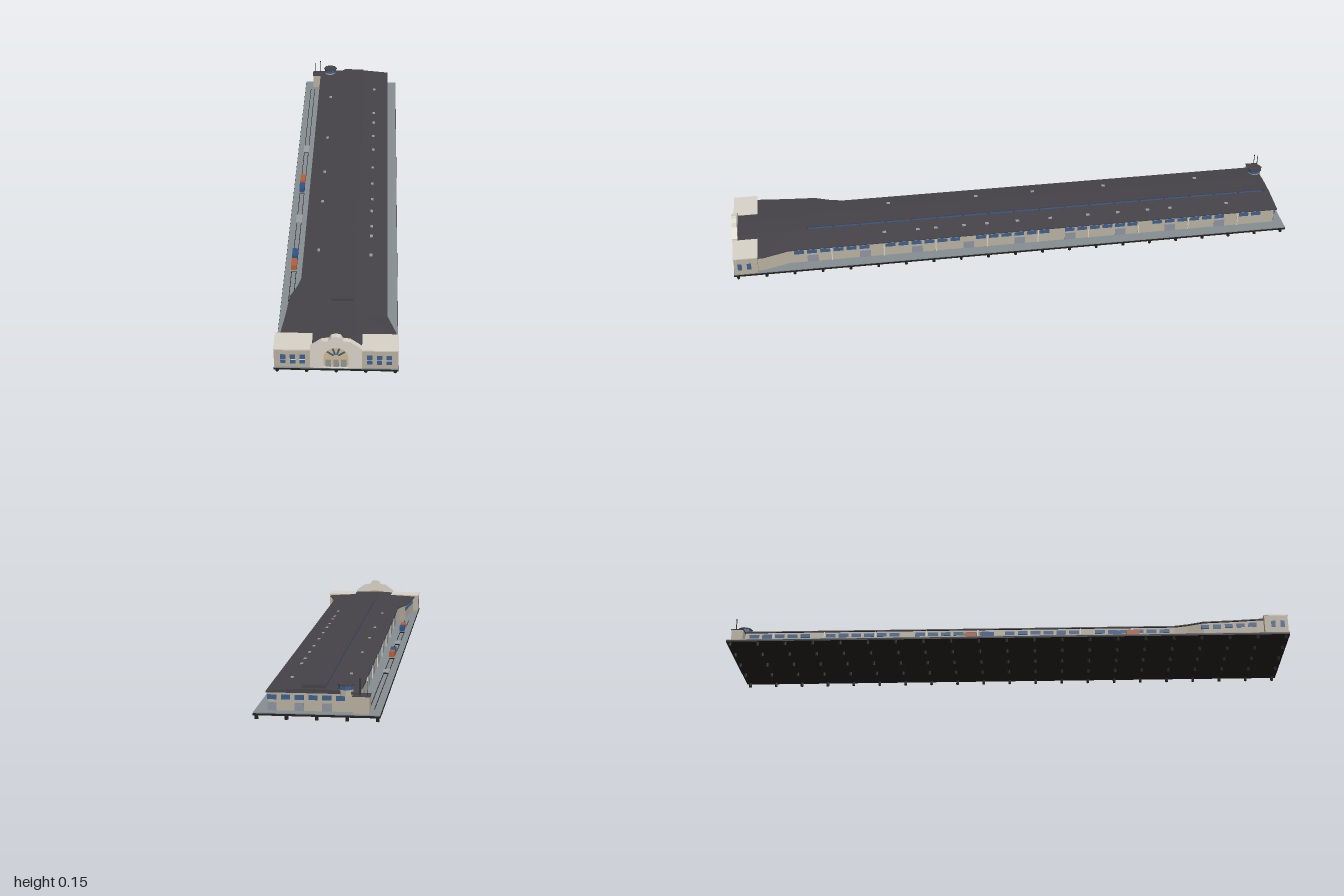
import * as THREE from 'three';

const mat = (color, side = THREE.FrontSide) =>
  new THREE.MeshStandardMaterial({ color, side, flatShading: true });
const M = {
  deck: mat(0x868e92), dark: mat(0x23211f), wall: mat(0xb8b0a0), trim: mat(0xd8d3c8),
  roof: mat(0x454348, THREE.DoubleSide), glass: mat(0x3d5f8c), door: mat(0x8d93a0),
  arch: mat(0xcfba8c), orange: mat(0xb0603c), blue: mat(0x2f5488), grey: mat(0x9a9ea2),
};

// Shed outline stations along the pier: [u, back edge, front edge]
const STATIONS = [
  [-1.07, -0.195, 0.2], [-0.965, -0.19, 0.2], [-0.87, -0.18, 0.17],
  [-0.76, -0.172, 0.17], [-0.7, -0.15, 0.17], [-0.65, -0.138, 0.17], [1.052, -0.138, 0.17],
];
const DECK = 0.025, EAVE = 0.088, RIDGE = 0.1;

// Edge position of the shed at u on one side (-1 back, 1 front)
function edgeAt(u, side) {
  const k = side < 0 ? 1 : 2;
  for (let i = 1; i < STATIONS.length; i++) {
    const a = STATIONS[i - 1], b = STATIONS[i];
    if (u <= b[0]) return a[k] + (b[k] - a[k]) * (u - a[0]) / (b[0] - a[0]);
  }
  return STATIONS[STATIONS.length - 1][k];
}

// Plan outline shrunk by "inset", extruded from y0 to y1
function planSlab(inset, y0, y1) {
  const back = STATIONS.map(([u, b]) => new THREE.Vector2(Math.min(u, 1.052 - inset), -(b + inset)));
  const front = STATIONS.map(([u, , f]) => new THREE.Vector2(Math.min(u, 1.052 - inset), -(f - inset)));
  const g = new THREE.ExtrudeGeometry(new THREE.Shape([...front, ...back.reverse()]),
    { depth: y1 - y0, bevelEnabled: false });
  return g.rotateX(-Math.PI / 2).translate(0, y0, 0);
}

// Low pitched roof lofted through the stations
function roofGeometry() {
  const pos = [], idx = [];
  for (const [u, b, f] of STATIONS)
    pos.push(u, EAVE + 0.002, b, u, RIDGE, -0.028, u, RIDGE, 0.058, u, EAVE + 0.002, f);
  for (let i = 0; i < STATIONS.length - 1; i++)
    for (let j = 0; j < 3; j++) {
      const a = i * 4 + j, c = a + 4;
      idx.push(a, a + 1, c, a + 1, c + 1, c);
    }
  const e = (STATIONS.length - 1) * 4;
  idx.push(0, 2, 1, 0, 3, 2, e, e + 1, e + 2, e, e + 2, e + 3);
  const g = new THREE.BufferGeometry();
  g.setAttribute('position', new THREE.Float32BufferAttribute(pos, 3));
  g.setIndex(idx);
  g.computeVertexNormals();
  return g;
}

export function createModel() {
  const root = new THREE.Group();
  root.name = 'pierTerminal';
  const pier = new THREE.Group();
  pier.name = 'pier';
  pier.rotation.y = THREE.MathUtils.degToRad(35.5);
  root.add(pier);

  const add = (name, geo, material) => {
    const m = new THREE.Mesh(geo, material);
    m.name = name;
    pier.add(m);
    return m;
  };
  // Box from its ranges along the pier, up, and across
  const box = (name, material, u0, u1, y0, y1, v0, v1) =>
    add(name, new THREE.BoxGeometry(u1 - u0, y1 - y0, v1 - v0)
      .translate((u0 + u1) / 2, (y0 + y1) / 2, (v0 + v1) / 2), material);

  // Deck and piles
  box('deckBase', M.dark, -1.08, 1.08, 0.015, 0.022, -0.208, 0.208);
  box('deckSurface', M.deck, -1.08, 1.08, 0.022, DECK, -0.207, 0.207);
  const pileGeo = new THREE.CylinderGeometry(0.006, 0.006, 0.016, 6);
  for (let i = 0; i < 21; i++)
    for (let j = 0; j < 5; j++)
      add('pile', pileGeo, M.dark).position.set(-1.065 + i * 0.1065, 0.008, -0.198 + j * 0.099);

  // Long shed
  add('shedWalls', planSlab(0.008, DECK, EAVE), M.wall);
  add('eaves', planSlab(0, EAVE - 0.002, EAVE + 0.002), M.roof);
  add('shedRoof', roofGeometry(), M.roof);

  // Clerestory with window bands
  box('clerestoryWalls', M.roof, -0.798, 1.035, 0.095, 0.109, -0.024, 0.054);
  for (const v of [-0.0245, 0.0545])
    for (let i = 0; i < 18; i++)
      box('clerestoryWindow', M.glass, -0.79 + i * 0.101, -0.696 + i * 0.101, 0.1005, 0.1085, v - 0.001, v + 0.001);
  box('clerestoryRoof', M.roof, -0.8, 1.037, 0.109, 0.112, -0.028, 0.058);

  // High windows, doors and pilasters on both long walls
  for (const side of [-1, 1]) {
    const start = side < 0 ? -0.63 : -0.85;
    const n = Math.floor((1.03 - start) / 0.05);
    for (let i = 0; i < n; i++) {
      const u = start + i * 0.05, w = side * 0.0015;
      const v = edgeAt(u + 0.02, side) - side * 0.008;
      if (i % 7 !== 6)
        box('highWindow', M.glass, u, u + 0.038, 0.064, 0.079, v - Math.abs(w), v + Math.abs(w));
      if (i % 4 === 1)
        box('cargoDoor', M.door, u, u + 0.042, DECK, 0.055, v - 0.0015, v + 0.0015);
      if (i % 4 === 3)
        box('pilaster', M.trim, u - 0.008, u - 0.004, DECK, EAVE - 0.002, v - 0.003, v + 0.003);
    }
    // Windows of the wider front hall
    for (const u of side < 0 ? [-0.96, -0.915, -0.87, -0.825, -0.78] : []) {
      const v = edgeAt(u + 0.015, side) + 0.008;
      box('hallWindow', M.glass, u, u + 0.03, 0.062, 0.077, v - 0.003, v + 0.003);
    }
  }

  // Head house: two flat-roofed blocks with tall windows
  for (const s of [-1, 1]) {
    const lo = Math.min(s * 0.082, s * 0.207), hi = Math.max(s * 0.082, s * 0.207);
    box('headBlock', M.wall, -1.076, -0.987, DECK, 0.094, lo, hi);
    box('headParapet', M.trim, -1.078, -0.985, 0.094, 0.098, lo - 0.001, hi + 0.001);
    for (let i = -1; i <= 1; i++) {
      const v = s * 0.1445 + i * 0.032;
      box('headWindow', M.glass, -1.0775, -1.074, 0.04, 0.076, v - 0.009, v + 0.009);
      box('headWindowBar', M.trim, -1.079, -1.077, 0.056, 0.058, v - 0.01, v + 0.01);
    }
    for (const u of [-1.055, -1.02])
      box('sideWindow', M.glass, u - 0.008, u + 0.008, 0.045, 0.072, s * 0.207 - 0.001, s * 0.207 + 0.001);
  }

  // Stepped central gable with an arched opening
  const gable = new THREE.Shape([
    [-0.086, DECK], [0.086, DECK], [0.086, 0.105], [0.048, 0.133], [0.024, 0.136], [0.015, 0.15],
    [0, 0.153], [-0.015, 0.15], [-0.024, 0.136], [-0.048, 0.133], [-0.086, 0.105],
  ].map(([x, y]) => new THREE.Vector2(x, y)));
  const opening = new THREE.Path();
  opening.moveTo(-0.042, DECK + 0.001);
  opening.lineTo(-0.042, 0.066);
  opening.absarc(0, 0.066, 0.042, Math.PI, 0, true);
  opening.lineTo(0.042, DECK + 0.001);
  gable.holes.push(opening);
  const gableMesh = add('gable', new THREE.ExtrudeGeometry(gable,
    { depth: 0.02, bevelEnabled: false, curveSegments: 10 }), M.trim);
  gableMesh.rotation.y = -Math.PI / 2;
  gableMesh.position.x = -1.06;
  box('archPanel', M.arch, -1.072, -1.062, DECK, 0.109, -0.046, 0.046);
  for (const v of [-0.026, 0, 0.026])
    box('entranceDoor', M.door, -1.0745, -1.071, DECK, 0.055, v - 0.009, v + 0.009);
  for (let i = 1; i < 5; i++) {
    const a = i * Math.PI / 5;
    const bar = box('fanlightBar', M.glass, -0.001, 0.001, 0.01, 0.036, -0.003, 0.003);
    bar.position.set(-1.073, 0.066, 0);
    bar.rotation.x = a - Math.PI / 2;
  }

  // Far end: stair block, lookout cabin and masts
  box('endBlock', M.wall, 1.025, 1.07, DECK, 0.082, -0.172, -0.118);
  box('endBlockRoof', M.roof, 1.023, 1.072, 0.082, 0.085, -0.174, -0.116);
  const drum = (name, r, y0, y1, m) =>
    add(name, new THREE.CylinderGeometry(r, r, y1 - y0, 8), m).position.set(1.035, (y0 + y1) / 2, -0.093);
  drum('cabinBase', 0.024, 0.08, 0.1, M.wall);
  drum('cabinWindows', 0.025, 0.1, 0.114, M.glass);
  drum('cabinRoof', 0.029, 0.114, 0.118, M.roof);
  for (const [u, v, h] of [[1.06, -0.14, 0.142], [1.055, -0.165, 0.132]])
    add('mast', new THREE.CylinderGeometry(0.0012, 0.0012, h - 0.08, 6), M.dark)
      .position.set(u, (h + 0.08) / 2, v);
  for (let i = 0; i < 6; i++) {
    const v = -0.09 + i * 0.045;
    box('endWindow', M.glass, 1.042, 1.046, 0.062, 0.078, v, v + 0.03);
    if (i % 2) box('endDoor', M.door, 1.042, 1.046, DECK, 0.052, v, v + 0.03);
  }

  // Roof vents
  const roofY = (v) => RIDGE - (v > 0 ? (v - 0.058) * 0.09 : (-0.028 - v) * 0.09);
  const vent = (u, v) => box('roofVent', M.grey, u - 0.007, u + 0.007, roofY(v) - 0.003, roofY(v) + 0.003, v - 0.005, v + 0.005);
  for (const u of [-0.5, -0.37, -0.3, -0.19, -0.1, 0.02, 0.15, 0.3, 0.42, 0.54, 0.63, 0.86]) vent(u, 0.11);
  for (const u of [-0.47, -0.12, 0.11, 0.4, 0.78]) vent(u, -0.083);

  // Quayside rails and wagons with containers
  for (const v of [-0.182, -0.165])
    box('rail', M.dark, -0.7, 1.0, DECK, DECK + 0.0015, v - 0.001, v + 0.001);
  const wagons = [[-0.485, M.orange], [-0.417, M.blue], [-0.148, null], [0.074, M.blue], [0.14, M.orange], [0.416, null]];
  for (const [u, paint] of wagons) {
    box('wagonBed', M.grey, u - 0.028, u + 0.028, 0.03, 0.033, -0.185, -0.162);
    for (const d of [-0.018, 0.018])
      box('wagonWheels', M.dark, u + d - 0.005, u + d + 0.005, DECK, 0.03, -0.182, -0.165);
    if (paint) box('container', paint, u - 0.025, u + 0.025, 0.033, 0.052, -0.184, -0.163);
  }
  return root;
}
